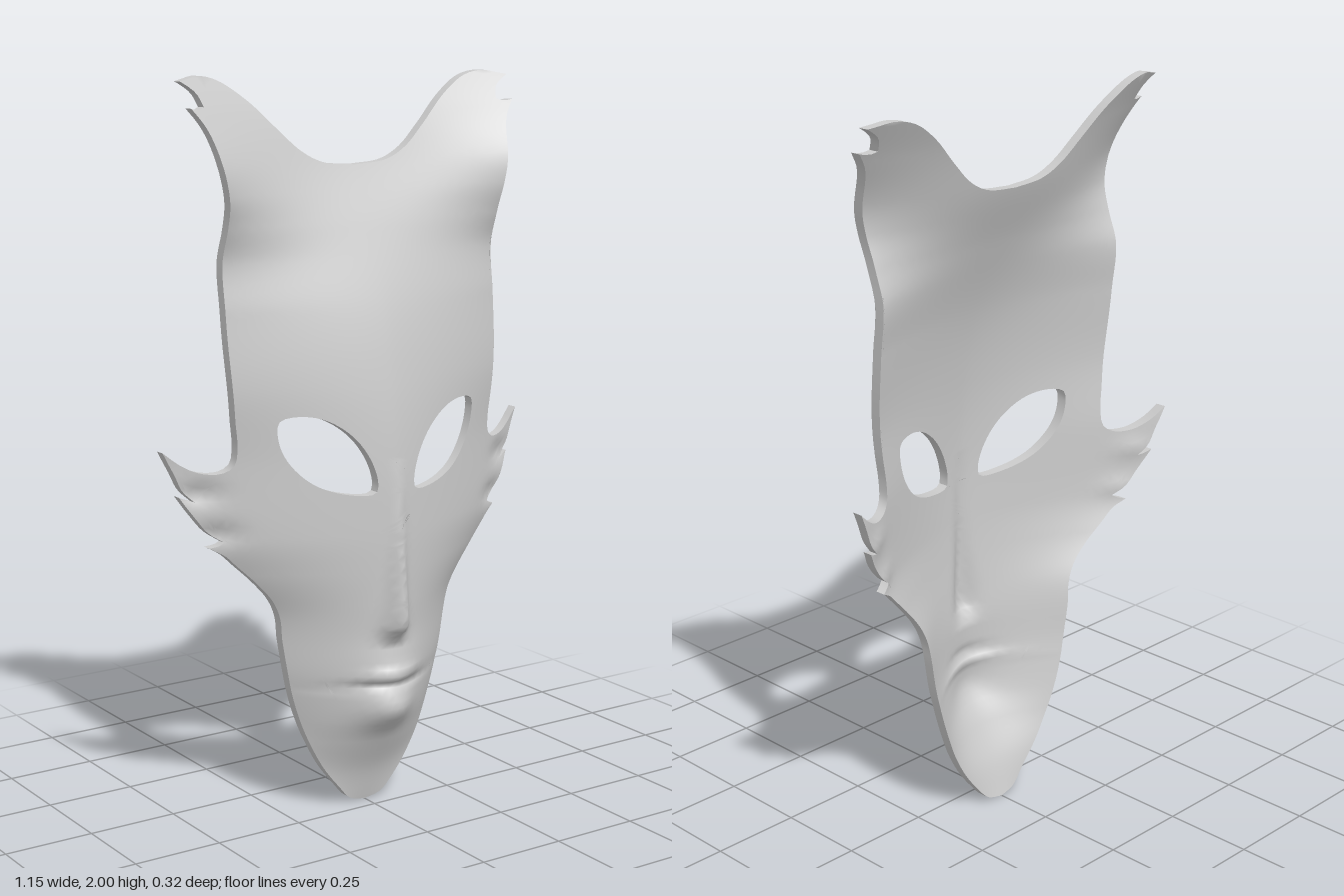
import * as THREE from 'three';
import { mergeVertices, toCreasedNormals } from 'three/addons/utils/BufferGeometryUtils.js';

const THICKNESS = 0.03, MAX_EDGE = 0.032, STEP = 0.016;

// Smooth function through [y, value] keys
function keyed(keys) {
  const slope = i => {
    const a = keys[Math.max(i - 1, 0)], b = keys[Math.min(i + 1, keys.length - 1)];
    return (b[1] - a[1]) / (b[0] - a[0]);
  };
  return y => {
    if (y <= keys[0][0]) return keys[0][1];
    for (let i = 0; i < keys.length - 1; i++) {
      const [y0, v0] = keys[i], [y1, v1] = keys[i + 1];
      if (y > y1) continue;
      const h = y1 - y0, t = (y - y0) / h, t2 = t * t, t3 = t2 * t;
      return v0 * (2 * t3 - 3 * t2 + 1) + v1 * (3 * t2 - 2 * t3)
        + h * (slope(i) * (t3 - 2 * t2 + t) + slope(i + 1) * (t3 - t2));
    }
    return keys[keys.length - 1][1];
  };
}

// Depth along the middle, depth at the side, half width and curvature by height
const middle = keyed([[0, -0.05], [0.1, -0.018], [0.2, 0.033], [0.27, 0.062], [0.4, 0.078], [0.5, 0.085],
  [0.6, 0.095], [0.8, 0.107], [1, 0.108], [1.2, 0.09], [1.4, 0.05], [1.6, -0.022], [1.76, -0.092], [1.9, -0.14], [2, -0.185]]);
const side = keyed([[0, -0.05], [0.6, -0.045], [1, -0.045], [1.2, -0.03], [1.4, -0.045], [1.53, -0.058],
  [1.62, -0.03], [1.7, -0.005], [1.78, -0.01], [1.9, -0.068], [2, -0.125]]);
const halfWidth = keyed([[0, 0.1], [0.1, 0.14], [0.2, 0.185], [0.4, 0.245], [0.57, 0.28], [0.7, 0.36],
  [0.8, 0.41], [1, 0.42], [1.6, 0.43], [1.8, 0.46], [2, 0.48]]);
const power = keyed([[0, 1.9], [0.5, 1.8], [0.9, 1.5], [1.3, 1.7], [1.7, 2.2], [2, 2]]);
const nose = keyed([[0.485, 0], [0.51, 0.02], [0.54, 0.054], [0.6, 0.054], [0.8, 0.02], [1, 0]]);
const noseWidth = keyed([[0.5, 0.04], [0.56, 0.036], [0.7, 0.027], [1, 0.02]]);

// Soft bumps [x, y, height, x spread, y spread]: muzzle, lips, mouth line, chin, cheek furrows
const bumps = [
  [0, 0.41, 0.02, 0.1, 0.08], [0, 0.4, 0.018, 0.075, 0.02], [0, 0.37, -0.014, 0.14, 0.013],
  [0, 0.3, 0.04, 0.08, 0.055], [0.45, 0.82, -0.014, 0.05, 0.03], [0.49, 0.93, -0.014, 0.05, 0.03],
];

function depth(x, y, detail) {
  x = Math.abs(x);
  const t = x / halfWidth(y), p = power(y), m = middle(y);
  let z = m + (side(y) - m) * (t < 1 ? t ** p : 1 + p * (t - 1));
  let relief = nose(y) * Math.exp(-((x / noseWidth(y)) ** 2));
  for (const [bx, by, h, sx, sy] of bumps) {
    relief += h * Math.exp(-(((x - bx) / sx) ** 2) - ((y - by) / sy) ** 2);
  }
  return z + relief * detail;
}
const frontZ = (x, y) => depth(x, y, 1);
const backZ = (x, y) => depth(x, y, 0.55) - THICKNESS;

// Evenly spaced points on a smooth curve
function smooth(points, closed = false) {
  const c = new THREE.CatmullRomCurve3(points.map(([x, y]) => new THREE.Vector3(x, y, 0)), closed);
  return c.getSpacedPoints(Math.max(2, Math.ceil(c.getLength() / STEP))).map(p => new THREE.Vector2(p.x, p.y));
}

// Half outline from chin to brow, broken at the sharp tips and notches
const outline = [
  [[0, 0], [0.05, 0.013], [0.09, 0.055], [0.14, 0.12], [0.188, 0.21], [0.225, 0.31], [0.248, 0.4], [0.266, 0.5],
    [0.277, 0.57], [0.3, 0.62], [0.345, 0.675], [0.4, 0.73], [0.43, 0.76], [0.467, 0.782]],
  [[0.467, 0.782], [0.445, 0.788], [0.432, 0.797]],
  [[0.432, 0.797], [0.47, 0.825], [0.505, 0.87], [0.537, 0.922]],
  [[0.537, 0.922], [0.515, 0.912], [0.5, 0.908]],
  [[0.5, 0.908], [0.53, 0.94], [0.55, 0.985], [0.577, 1.043]],
  [[0.577, 1.043], [0.535, 1.008], [0.49, 0.986], [0.44, 0.985], [0.413, 1.005], [0.407, 1.05], [0.415, 1.13],
    [0.427, 1.3], [0.43, 1.5], [0.43, 1.66], [0.447, 1.76], [0.465, 1.85], [0.48, 1.885], [0.507, 1.922]],
  [[0.507, 1.922], [0.48, 1.918], [0.462, 1.924]],
  [[0.462, 1.924], [0.472, 1.955], [0.49, 1.972], [0.516, 1.988]],
  [[0.516, 1.988], [0.49, 1.993], [0.45, 2], [0.39, 1.987], [0.31, 1.935], [0.23, 1.86], [0.165, 1.803],
    [0.1, 1.772], [0, 1.762]],
];
const eye = [[0.31, 1.118], [0.265, 1.13], [0.195, 1.117], [0.125, 1.07], [0.078, 1.005], [0.058, 0.94], [0.064, 0.913],
  [0.15, 0.917], [0.23, 0.95], [0.288, 1.01], [0.312, 1.07]];

const mirrored = pts => pts.map(p => new THREE.Vector2(-p.x, p.y)).reverse();

// Splits a flat triangle until its edges are short
function split(a, b, c, out) {
  const ab = a.distanceTo(b), bc = b.distanceTo(c), ca = c.distanceTo(a), longest = Math.max(ab, bc, ca);
  if (longest <= MAX_EDGE) { out.push(a, b, c); return; }
  if (longest === bc) return split(b, c, a, out);
  if (longest === ca) return split(c, a, b, out);
  const m = a.clone().add(b).multiplyScalar(0.5);
  split(a, m, c, out);
  split(m, b, c, out);
}

// Curved sheet over the flat triangles, with normals from the depth rule
function sheet(points, zOf, sign) {
  const pos = [], nor = [], e = 0.003, n = new THREE.Vector3();
  for (let i = 0; i < points.length; i += 3) {
    const order = sign > 0 ? [0, 1, 2] : [0, 2, 1];
    for (const k of order) {
      const { x, y } = points[i + k];
      pos.push(x, y, zOf(x, y));
      n.set((zOf(x - e, y) - zOf(x + e, y)) / (2 * e), (zOf(x, y - e) - zOf(x, y + e)) / (2 * e), 1);
      n.normalize().multiplyScalar(sign);
      nor.push(n.x, n.y, n.z);
    }
  }
  const g = new THREE.BufferGeometry();
  g.setAttribute('position', new THREE.Float32BufferAttribute(pos, 3));
  g.setAttribute('normal', new THREE.Float32BufferAttribute(nor, 3));
  return mergeVertices(g);
}

// Edge wall joining front and back along a loop
function rim(loop) {
  const pos = [];
  loop.forEach((a, i) => {
    const b = loop[(i + 1) % loop.length];
    const aF = [a.x, a.y, frontZ(a.x, a.y)], aB = [a.x, a.y, backZ(a.x, a.y)];
    const bF = [b.x, b.y, frontZ(b.x, b.y)], bB = [b.x, b.y, backZ(b.x, b.y)];
    pos.push(...aF, ...aB, ...bF, ...bF, ...aB, ...bB);
  });
  const g = new THREE.BufferGeometry();
  g.setAttribute('position', new THREE.Float32BufferAttribute(pos, 3));
  return toCreasedNormals(g, 0.7);
}

export function createModel() {
  const group = new THREE.Group();
  group.name = 'mask';
  const material = new THREE.MeshStandardMaterial({ color: 0xcccccc });
  const add = (name, geometry) => {
    const mesh = new THREE.Mesh(geometry, material);
    mesh.name = name;
    group.add(mesh);
  };

  // Outer loop runs anticlockwise, eye loops clockwise
  const half = outline.flatMap(s => smooth(s).slice(0, -1));
  half.push(new THREE.Vector2(0, 1.762));
  const contour = [...half, ...mirrored(half).slice(1, -1)];
  const leftEye = smooth(eye, true).slice(0, -1);
  if (!THREE.ShapeUtils.isClockWise(leftEye)) leftEye.reverse();
  const rightEye = mirrored(leftEye);

  const all = [...contour, ...leftEye, ...rightEye], flat = [];
  for (const [i, j, k] of THREE.ShapeUtils.triangulateShape(contour, [leftEye, rightEye])) {
    const [a, b, c] = [all[i], all[j], all[k]];
    const ccw = (b.x - a.x) * (c.y - a.y) - (b.y - a.y) * (c.x - a.x) > 0;
    split(a, ccw ? b : c, ccw ? c : b, flat);
  }

  add('faceFront', sheet(flat, frontZ, 1));
  add('faceBack', sheet(flat, backZ, -1));
  add('outerRim', rim(contour));
  add('leftEyeRim', rim(leftEye));
  add('rightEyeRim', rim(rightEye));
  return group;
}
